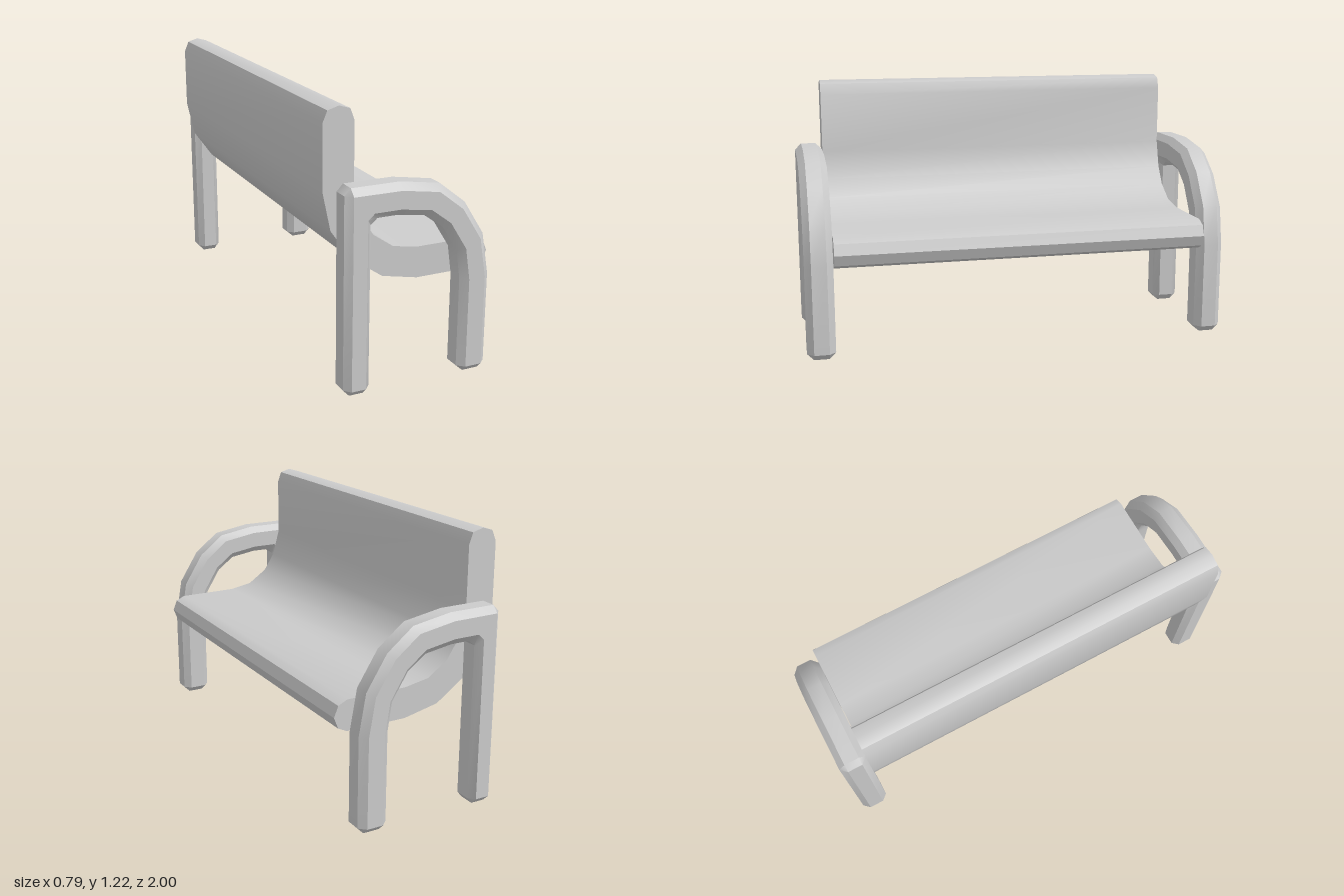
import * as THREE from 'three';
import { toCreasedNormals } from 'three/addons/utils/BufferGeometryUtils.js';

const CREASE = 0.6;
const material = new THREE.MeshStandardMaterial({ color: 0xcccccc });

// Curved seat and backrest: one side profile extruded along the bench
function seatGeometry() {
  const profile = [
    [-0.325, 1.215], [-0.375, 1.2], [-0.396, 1.15], [-0.396, 0.87], [-0.36, 0.7],
    [-0.265, 0.565], [-0.12, 0.465], [0.045, 0.43], [0.33, 0.43], [0.372, 0.45],
    [0.392, 0.5], [0.372, 0.55], [0.33, 0.57], [0.045, 0.57], [-0.07, 0.59],
    [-0.165, 0.655], [-0.22, 0.74], [-0.256, 0.87], [-0.256, 1.15], [-0.275, 1.2],
  ].map(([x, y]) => new THREE.Vector2(x, y));
  const g = new THREE.ExtrudeGeometry(new THREE.Shape(profile), { depth: 1.74, bevelEnabled: false });
  g.translate(0, 0, -0.87);
  return toCreasedNormals(g, CREASE);
}

// Chamfered bar swept up the rear leg, along the armrest and down the front leg.
// Each ring: outer x, y, inner x, y, and optionally the outer chamfer's edge x, y.
function frameGeometry() {
  const rings = [
    [-0.32, 0, -0.255, 0],
    [-0.348, 0.03, -0.23, 0.03],
    [-0.348, 0.875, -0.23, 0.74, -0.32, 0.875],
    [-0.32, 0.905, -0.2, 0.765, -0.32, 0.875],
    [-0.1, 0.905, -0.11, 0.765],
    [0.083, 0.875, 0.02, 0.745],
    [0.206, 0.778, 0.104, 0.683],
    [0.302, 0.626, 0.177, 0.566],
    [0.335, 0.44, 0.196, 0.437],
    [0.335, 0.03, 0.196, 0.03],
    [0.305, 0, 0.23, 0],
  ];
  const positions = [], index = [], last = rings.length - 1;
  rings.forEach(([ox, oy, ix, iy, ex, ey], r) => {
    const tip = r === 0 || r === last;
    const t = tip ? 0 : 0.03 / 0.135;
    const side = tip ? 0.035 : 0.065;
    const outerEdge = ex === undefined ? [ox + (ix - ox) * t, oy + (iy - oy) * t] : [ex, ey];
    const innerEdge = [ix + (ox - ix) * t, iy + (oy - iy) * t];
    const half = [[ox, oy, 0.035], [...outerEdge, side], [...innerEdge, side], [ix, iy, 0.035]];
    const back = half.map(([x, y, z]) => [x, y, -z]).reverse();
    positions.push(...half.flat(), ...back.flat());
    if (r === last) return;
    for (let i = 0; i < 8; i++) {
      const a = r * 8 + i, b = r * 8 + (i + 1) % 8;
      index.push(a, b, b + 8, a, b + 8, a + 8);
    }
  });
  // Flat undersides of the feet
  for (let i = 1; i < 7; i++) {
    const e = last * 8;
    index.push(0, i + 1, i, e, e + i, e + i + 1);
  }
  const g = new THREE.BufferGeometry();
  g.setAttribute('position', new THREE.Float32BufferAttribute(positions, 3));
  g.setIndex(index);
  return toCreasedNormals(g, CREASE);
}

export function createModel() {
  const bench = new THREE.Group();
  bench.name = 'bench';

  const seat = new THREE.Mesh(seatGeometry(), material);
  seat.name = 'seatAndBackrest';
  bench.add(seat);

  // One leg-and-armrest frame at each end
  const frame = frameGeometry();
  for (const [name, z] of [['armrestFrameNear', 0.935], ['armrestFrameFar', -0.935]]) {
    const mesh = new THREE.Mesh(frame, material);
    mesh.name = name;
    mesh.position.z = z;
    bench.add(mesh);
  }
  return bench;
}
